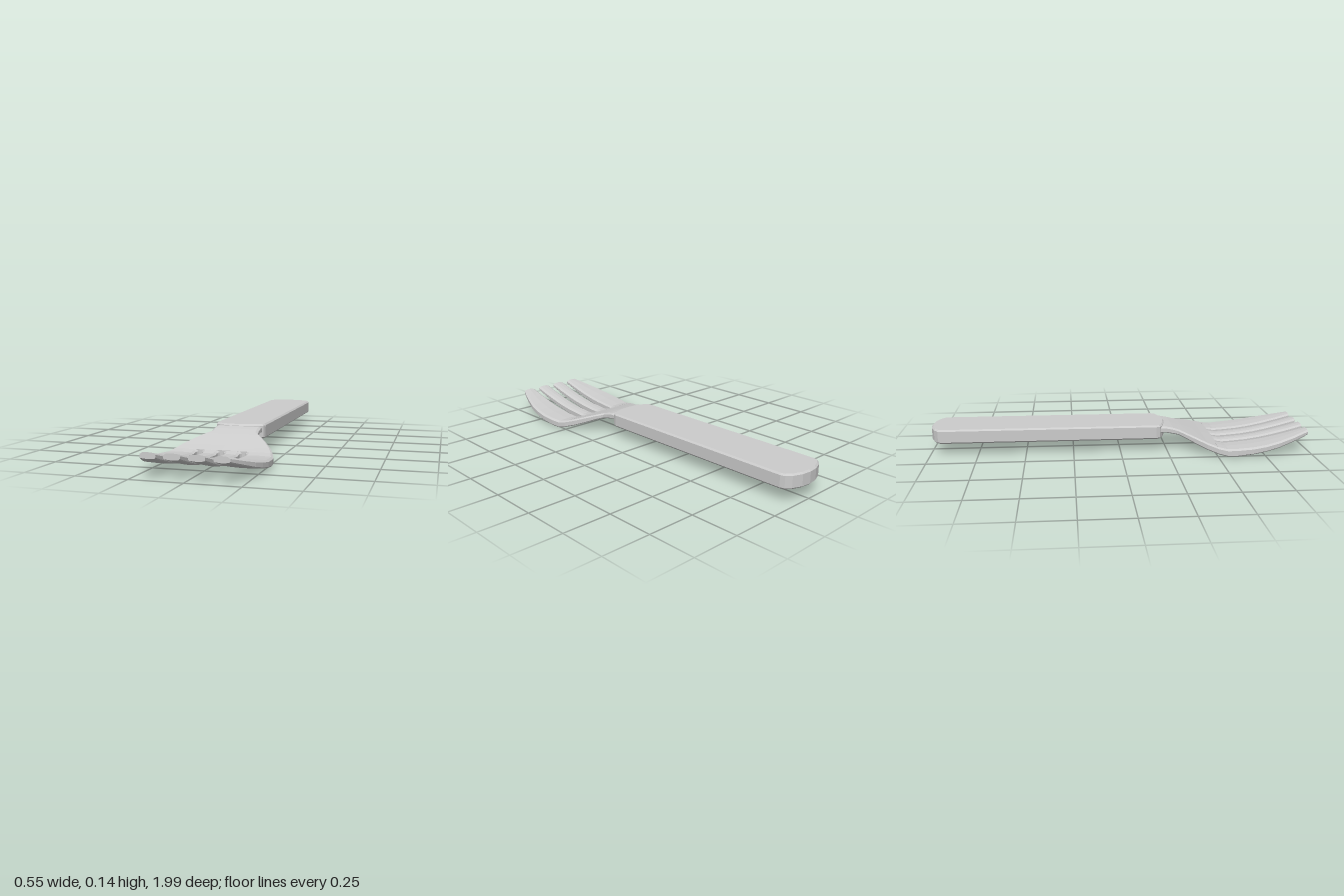
import * as THREE from 'three';

const material = new THREE.MeshStandardMaterial({ color: 0xcccccc, flatShading: true, side: THREE.DoubleSide });

// Half width, underside and top of the bent fork head along z
const PROFILE = [
  [0.18, 0.12, 0.1, 0.134], [0.24, 0.12, 0.099, 0.134], [0.28, 0.121, 0.092, 0.126], [0.31, 0.124, 0.086, 0.117],
  [0.34, 0.15, 0.076, 0.108], [0.4, 0.194, 0.05, 0.088], [0.45, 0.228, 0.031, 0.07], [0.505, 0.253, 0.013, 0.053],
  [0.55, 0.265, 0.004, 0.045], [0.6, 0.272, 0.006, 0.048], [0.68, 0.276, 0.016, 0.055], [0.75, 0.271, 0.028, 0.065],
  [0.82, 0.259, 0.043, 0.079], [0.9, 0.235, 0.066, 0.098], [0.96, 0.212, 0.084, 0.114], [0.99, 0.199, 0.094, 0.122],
];

function profileAt(z) {
  let i = 0;
  while (i < PROFILE.length - 2 && PROFILE[i + 1][0] < z) i++;
  const a = PROFILE[i], b = PROFILE[i + 1], t = (z - a[0]) / (b[0] - a[0]);
  return a.map((v, k) => v + (b[k] - v) * t);
}

// Lofts bevelled cross-sections between a left and a right edge
function loft(name, zs, edges) {
  const pos = [], idx = [], n = 10;
  for (const z of zs) {
    const [, half, low, high] = profileAt(z);
    const [l, r] = edges(z, half);
    const c = Math.min(0.012, (r - l) * 0.2), m = (l + r) / 2, d = 0.008;
    pos.push(
      l + c * 0.4, low + 0.003, z, m, low, z, r - c * 0.4, low + 0.003, z,
      r, low + d, z, r, high - d, z,
      r - c, high, z, m, high + 0.002, z, l + c, high, z,
      l, high - d, z, l, low + d, z);
  }
  const last = (zs.length - 1) * n;
  for (let s = 0; s < last; s += n) {
    for (let i = 0; i < n; i++) {
      const j = (i + 1) % n;
      idx.push(s + i, s + j, s + n + j, s + i, s + n + j, s + n + i);
    }
  }
  for (let i = 1; i < n - 1; i++) {
    idx.push(0, i + 1, i, last, last + i, last + i + 1);
  }
  const geo = new THREE.BufferGeometry();
  geo.setAttribute('position', new THREE.Float32BufferAttribute(pos, 3));
  geo.setIndex(idx);
  geo.computeVertexNormals();
  const mesh = new THREE.Mesh(geo, material);
  mesh.name = name;
  return mesh;
}

// Flat handle with softly arched ends and bevelled rims
function createHandle() {
  const side = [
    [0, -1], [0.05, -0.994], [0.1, -0.975], [0.126, -0.953], [0.133, -0.93],
    [0.133, 0.19], [0.126, 0.21], [0.1, 0.225], [0.05, 0.24], [0, 0.245],
  ];
  const mirrored = side.slice(1, -1).reverse().map(([x, z]) => [-x, z]);
  const shape = new THREE.Shape([...side, ...mirrored].map(([x, z]) => new THREE.Vector2(x, z)));
  const b = 0.008;
  const geo = new THREE.ExtrudeGeometry(shape, {
    depth: 0.075 - 2 * b, bevelEnabled: true, bevelThickness: b, bevelSize: b, bevelOffset: -b, bevelSegments: 1,
  });
  geo.rotateX(Math.PI / 2).translate(0, 0.145 - b, 0);
  const mesh = new THREE.Mesh(geo, material);
  mesh.name = 'handle';
  return mesh;
}

export function createModel() {
  const group = new THREE.Group();
  group.name = 'fork';
  group.add(createHandle());

  // Neck and bowl
  const bowlZ = PROFILE.map((p) => p[0]).filter((z) => z <= 0.505);
  group.add(loft('neckAndBowl', bowlZ, (z, half) => [-half, half]));

  // Tines, flared at the root so that the slots end rounded
  const tineZ = [0.5, 0.506, 0.513, 0.525, ...PROFILE.map((p) => p[0]).filter((z) => z > 0.53)];
  const flare = (z) => 0.014 * Math.max(0, 1 - (z - 0.5) / 0.022) ** 2;
  for (const s of [-1, 1]) {
    const place = (a, b) => (s > 0 ? [a, b] : [-b, -a]);
    const label = s > 0 ? 'left' : 'right';
    group.add(loft(label + 'InnerTine', tineZ, (z) => place(0.018 - flare(z), 0.092 + flare(z))));
    group.add(loft(label + 'OuterTine', tineZ, (z, half) => place(0.127 - flare(z), half)));
  }
  return group;
}
